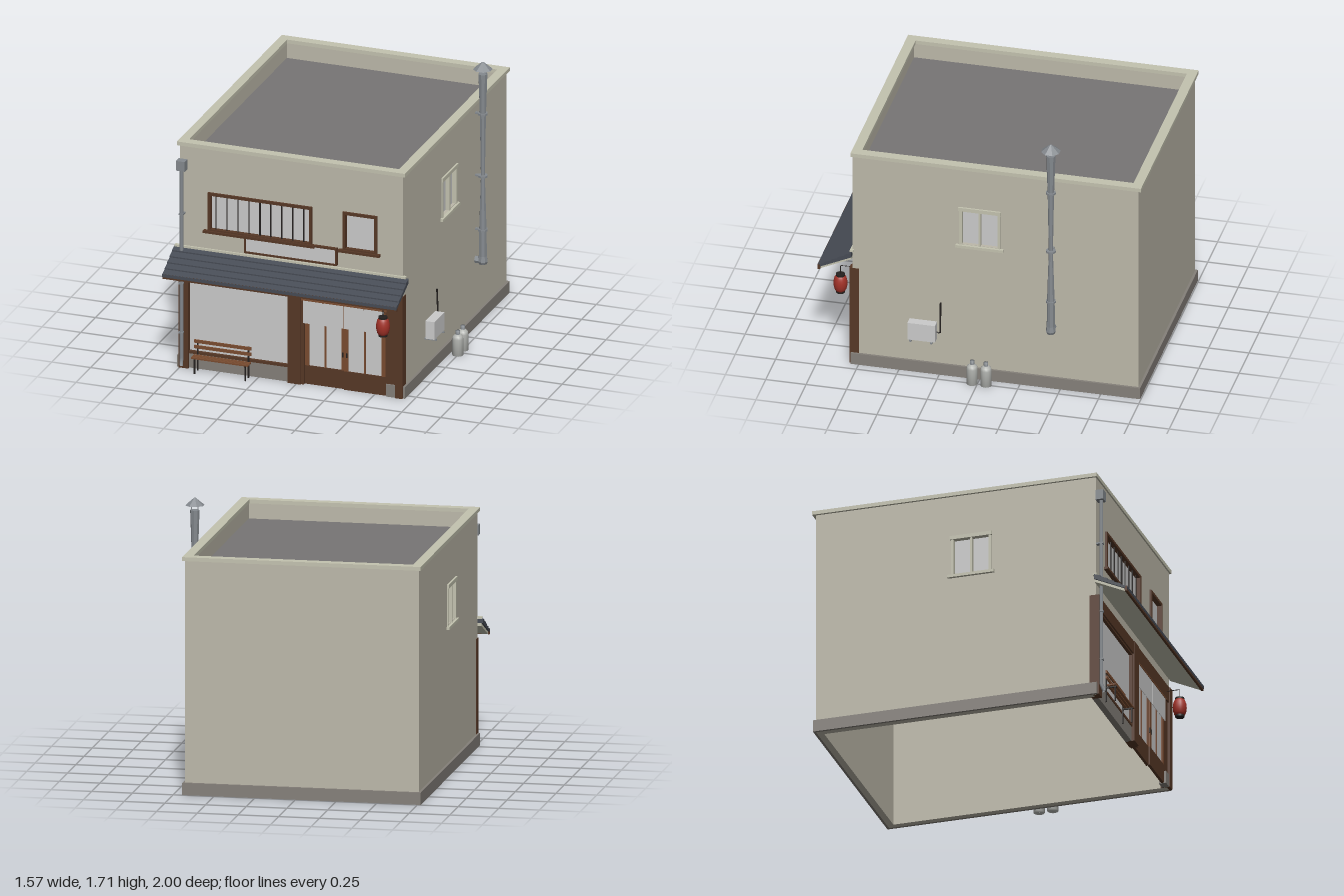
import * as THREE from 'three';

const mats = {};
const mat = (color, flat = false) => (mats[color + '_' + flat] ??=
  new THREE.MeshStandardMaterial({ color, flatShading: flat, side: THREE.DoubleSide }));
const WALL = 0xbdb9aa, TRIM = 0xc4c3b0, BASE = 0x85807a, WOOD = 0x573826, SEAT = 0x7a4c30;
const TILE = 0x474c55, ROOF = 0x777575, METAL = 0x858a8f, DARK = 0x25211f, GREY = 0xcccccc, RED = 0xa33228;

export function createModel() {
  const root = new THREE.Group();
  let target = root;

  const add = (name, geo, color, flat) => {
    const m = new THREE.Mesh(geo, mat(color, flat));
    m.name = name;
    target.add(m);
    return m;
  };
  const part = (name, build) => {
    const g = new THREE.Group();
    g.name = name;
    root.add(g);
    target = g;
    build();
    target = root;
    return g;
  };
  // box from its limits on each axis
  const box = (name, color, x0, x1, y0, y1, z0, z1) => {
    const g = new THREE.BoxGeometry(x1 - x0, y1 - y0, z1 - z0);
    g.translate((x0 + x1) / 2, (y0 + y1) / 2, (z0 + z1) / 2);
    return add(name, g, color);
  };
  const poly = (pts) => new THREE.Shape(pts.map(p => new THREE.Vector2(...p)));
  const rect = (a0, a1, b0, b1) => poly([[a0, b0], [a1, b0], [a1, b1], [a0, b1]]);
  // extrude a (z, y) profile along x from x0 to x1
  const alongX = (shape, x0, x1) => new THREE.ExtrudeGeometry(shape, { depth: x1 - x0, bevelEnabled: false })
    .rotateY(-Math.PI / 2).translate(x1, 0, 0);
  const lathe = (name, color, pts, sides, x, z, flat) =>
    add(name, new THREE.LatheGeometry(pts.map(p => new THREE.Vector2(...p)), sides).translate(x, 0, z), color, flat);
  const tube = (name, color, pts, r, sides = 8) => {
    const path = new THREE.CurvePath();
    const v = pts.map(p => new THREE.Vector3(...p));
    for (let i = 1; i < v.length; i++) path.add(new THREE.LineCurve3(v[i - 1], v[i]));
    return add(name, new THREE.TubeGeometry(path, 24, r, sides), color);
  };
  // four bars around an opening in the front wall
  const frame = (name, color, x0, x1, y0, y1, z0, z1, t) => {
    box(name, color, x0, x0 + t, y0, y1, z0, z1);
    box(name, color, x1 - t, x1, y0, y1, z0, z1);
    box(name, color, x0 + t, x1 - t, y0, y0 + t, z0, z1);
    box(name, color, x0 + t, x1 - t, y1 - t, y1, z0, z1);
  };

  part('walls', () => {
    const front = poly([[-0.755, 0.64], [0.68, 0.64], [0.68, 1.44], [-0.755, 1.44]]);
    front.holes.push(rect(-0.56, 0.085, 0.915, 1.15), rect(0.305, 0.505, 0.915, 1.15));
    add('frontWall', new THREE.ExtrudeGeometry(front, { depth: 0.04, bevelEnabled: false }).translate(0, 0, 0.75), WALL);
    box('backWall', WALL, -0.755, 0.68, 0, 1.44, -0.98, -0.94);
    for (const x of [-0.755, 0.64]) {
      const side = rect(-0.94, 0.79, 0, 1.44);
      side.holes.push(rect(-0.115, 0.12, 0.92, 1.16));
      add('sideWall', alongX(side, x, x + 0.04), WALL);
    }
    box('roof', ROOF, -0.73, 0.66, 1.32, 1.345, -0.95, 0.76);
  });

  part('coping', () => {
    const shape = rect(-0.77, 0.695, -0.80, 1.0);
    shape.holes.push(rect(-0.713, 0.635, -0.74, 0.94));
    add('copingRing', new THREE.ExtrudeGeometry(shape, { depth: 0.024, bevelEnabled: false })
      .rotateX(-Math.PI / 2).translate(0, 1.44, 0), TRIM);
  });

  part('plinth', () => {
    box('backPlinth', BASE, -0.77, 0.695, 0, 0.075, -0.995, -0.98);
    box('rightPlinth', BASE, 0.68, 0.695, 0, 0.075, -0.98, 0.80);
    box('leftPlinth', BASE, -0.77, -0.755, 0, 0.075, -0.98, 0.80);
    box('windowPlinth', BASE, -0.70, -0.05, 0, 0.105, 0.75, 0.79);
    box('doorSidePlinth', BASE, 0.575, 0.64, 0, 0.08, 0.76, 0.805);
  });

  part('shopFront', () => {
    for (const [a, b] of [[-0.757, -0.695], [-0.055, 0.028], [0.635, 0.682]])
      box('post', WOOD, a, b, 0, 0.66, 0.75, 0.81);
    box('beam', WOOD, -0.695, -0.055, 0.58, 0.66, 0.75, 0.805);
    box('beam', WOOD, 0.028, 0.635, 0.56, 0.66, 0.75, 0.805);
    frame('shopWindowFrame', WOOD, -0.71, -0.045, 0.095, 0.585, 0.755, 0.795, 0.016);
    box('shopWindowGlass', GREY, -0.70, -0.055, 0.10, 0.58, 0.77, 0.775);
    box('doorSidePanel', WOOD, 0.57, 0.635, 0.08, 0.56, 0.76, 0.795);
    box('doorJamb', WOOD, 0.028, 0.045, 0, 0.56, 0.755, 0.80);
  });

  part('slidingDoors', () => {
    for (const [x0, x1, z] of [[0.045, 0.31, 0.765], [0.30, 0.57, 0.775]]) {
      const mid = (x0 + x1) / 2;
      box('doorPanel', WOOD, x0, x1, 0, 0.12, z, z + 0.018);
      box('doorTopRail', WOOD, x0, x1, 0.535, 0.56, z, z + 0.018);
      box('doorStile', SEAT, x0, x0 + 0.028, 0.12, 0.535, z, z + 0.018);
      box('doorStile', SEAT, x1 - 0.028, x1, 0.12, 0.535, z, z + 0.018);
      box('doorMullion', SEAT, mid - 0.005, mid + 0.005, 0.12, 0.535, z, z + 0.016);
      box('doorGlass', GREY, x0 + 0.02, x1 - 0.02, 0.11, 0.54, z + 0.006, z + 0.01);
    }
    for (const x of [0.293, 0.318]) box('doorHandle', DARK, x - 0.004, x + 0.004, 0.21, 0.24, 0.79, 0.797);
  });

  part('doorCurtain', () => {
    for (let i = 0; i < 4; i++) {
      const x = 0.042 + i * 0.131;
      box('curtainStrip', GREY, x, x + 0.126, 0.402, 0.553, 0.803, 0.806);
    }
    box('curtainRod', SEAT, 0.03, 0.58, 0.55, 0.558, 0.80, 0.81);
  });

  // stepped tile rows over a sloping soffit
  part('canopy', () => {
    const rows = 5, pts = [[1.0, 0.655]];
    for (let i = 0; i < rows; i++) {
      const z = 1.0 - i * 0.042, y = 0.675 + i * 0.023;
      pts.push([z, y], [z - 0.042, y + 0.015]);
    }
    pts.push([0.79, 0.752]);
    add('tiles', alongX(poly(pts), -0.79, 0.715), TILE);
    add('soffit', alongX(poly([[0.985, 0.645], [0.985, 0.662], [0.79, 0.752], [0.79, 0.735]]), -0.78, 0.705), TRIM);
    box('fascia', WOOD, -0.79, 0.715, 0.644, 0.676, 0.984, 0.998);
    box('flashing', TRIM, -0.785, 0.70, 0.78, 0.793, 0.78, 0.803);
  });

  part('upperWindows', () => {
    for (const [x0, x1] of [[-0.572, 0.097], [0.294, 0.516]]) {
      frame('windowFrame', WOOD, x0, x1, 0.905, 1.16, 0.755, 0.803, 0.018);
      box('windowGlass', GREY, x0 + 0.01, x1 - 0.01, 0.915, 1.15, 0.768, 0.772);
      box('windowSill', WOOD, x0 - 0.026, x1 + 0.02, 0.90, 0.915, 0.78, 0.817);
    }
    for (let i = 0; i < 9; i++) {
      const x = -0.524 + i * 0.0705, w = i === 4 ? 0.006 : 0.003;
      box('windowBar', DARK, x - w, x + w, 0.92, 1.145, 0.784, 0.79);
    }
  });

  part('signBoard', () => {
    frame('signFrame', WOOD, -0.335, 0.26, 0.805, 0.918, 0.79, 0.812, 0.011);
    box('signFace', GREY, -0.328, 0.253, 0.812, 0.911, 0.788, 0.805);
  });

  // matching side windows, with hood, sill and centre bar
  for (const s of [1, -1]) {
    const g = part('sideWindow', () => {
      for (const [a, b] of [[-0.125, -0.108], [0.112, 0.129], [-0.004, 0.008]])
        box('sideFrame', TRIM, -0.03, 0.006, 0.915, 1.165, a, b);
      box('sideHood', TRIM, -0.03, 0.012, 1.152, 1.176, -0.13, 0.135);
      box('sideSill', TRIM, -0.03, 0.018, 0.90, 0.918, -0.145, 0.15);
      box('sideGlass', GREY, -0.026, -0.022, 0.91, 1.16, -0.12, 0.125);
    });
    g.position.x = s > 0 ? 0.68 : -0.755;
    g.scale.x = s;
  }

  part('drainPipe', () => {
    box('rainHopper', METAL, -0.762, -0.706, 1.29, 1.353, 0.79, 0.838);
    tube('downPipe', METAL, [[-0.734, 1.30, 0.818], [-0.734, 0.05, 0.818], [-0.73, 0.025, 0.835]], 0.012);
    for (const y of [0.23, 0.55, 1.0]) box('pipeClip', METAL, -0.748, -0.72, y, y + 0.01, 0.79, 0.832);
  });

  part('chimney', () => {
    const x = 0.728, z = -0.45;
    lathe('flue', METAL, [[0.026, 0.42], [0.024, 0.62], [0.013, 0.97], [0.02, 1.38], [0.029, 1.64]], 8, x, z, true);
    lathe('flueTop', METAL, [[0.001, 1.64], [0.029, 1.64]], 8, x, z, true);
    lathe('elbow', METAL, [[0.001, 0.397], [0.024, 0.403], [0.031, 0.42], [0.026, 0.455]], 8, x, z, true);
    add('wallPipe', new THREE.CylinderGeometry(0.023, 0.023, 0.055, 8).rotateZ(Math.PI / 2).translate(0.70, 0.425, z), METAL, true);
    for (const y of [0.625, 0.975, 1.38]) {
      add('flueCollar', new THREE.CylinderGeometry(0.031, 0.031, 0.012, 8).translate(x, y, z), METAL, true);
      box('flueBracket', METAL, 0.68, x, y - 0.005, y + 0.005, z - 0.01, z + 0.01);
    }
    add('rainCap', new THREE.CylinderGeometry(0.006, 0.06, 0.045, 8).rotateY(Math.PI / 8).translate(x, 1.692, z), METAL, true);
    for (const s of [-1, 1]) box('capStay', METAL, x + s * 0.02 - 0.002, x + s * 0.02 + 0.002, 1.63, 1.675, z - 0.002, z + 0.002);
  });

  part('wallUnit', () => {
    box('unitCase', GREY, 0.69, 0.748, 0.25, 0.365, 0.264, 0.434);
    for (const z of [0.28, 0.41]) box('unitBracket', METAL, 0.68, 0.755, 0.24, 0.25, z, z + 0.012);
    tube('unitPipe', DARK, [[0.70, 0.295, 0.27], [0.70, 0.295, 0.242], [0.692, 0.50, 0.242]], 0.005, 6);
  });

  for (const z of [0.033, -0.053]) part('gasBottle', () => {
    lathe('bottle', 0xb4b6b2, [[0.001, 0], [0.034, 0], [0.034, 0.105], [0.03, 0.122], [0.015, 0.134], [0.001, 0.136]], 14, 0.748, z);
    lathe('bottleValve', METAL, [[0.014, 0.13], [0.014, 0.157], [0.001, 0.157]], 10, 0.748, z);
  });

  part('lantern', () => {
    const x = 0.587, z = 0.888, body = [];
    for (let i = 0; i <= 16; i++) {
      const t = i / 16;
      body.push([0.027 + 0.016 * Math.sin(Math.PI * t) ** 0.6 - (i % 2) * 0.0015, 0.438 + t * 0.106]);
    }
    lathe('paperShade', RED, body, 16, x, z);
    for (const y of [0.434, 0.549])
      add('lanternRim', new THREE.CylinderGeometry(0.028, 0.028, 0.012, 16).translate(x, y, z), DARK);
    tube('lanternHook', DARK, [[x, 0.55, z], [x, 0.612, z], [x, 0.612, 0.80]], 0.0025, 6);
  });

  part('bench', () => {
    for (const z of [0.826, 0.846, 0.866]) box('seatSlat', SEAT, -0.65, -0.285, 0.098, 0.107, z, z + 0.016);
    for (const y of [0.146, 0.182]) box('backSlat', SEAT, -0.65, -0.285, y, y + 0.02, 0.818, 0.826);
    for (const x of [-0.63, -0.305]) {
      box('frontLeg', DARK, x - 0.004, x + 0.004, 0, 0.098, 0.868, 0.876);
      box('backLeg', DARK, x - 0.004, x + 0.004, 0, 0.20, 0.811, 0.819);
      box('seatRail', DARK, x - 0.004, x + 0.004, 0.09, 0.098, 0.815, 0.882);
    }
  });

  return root;
}
